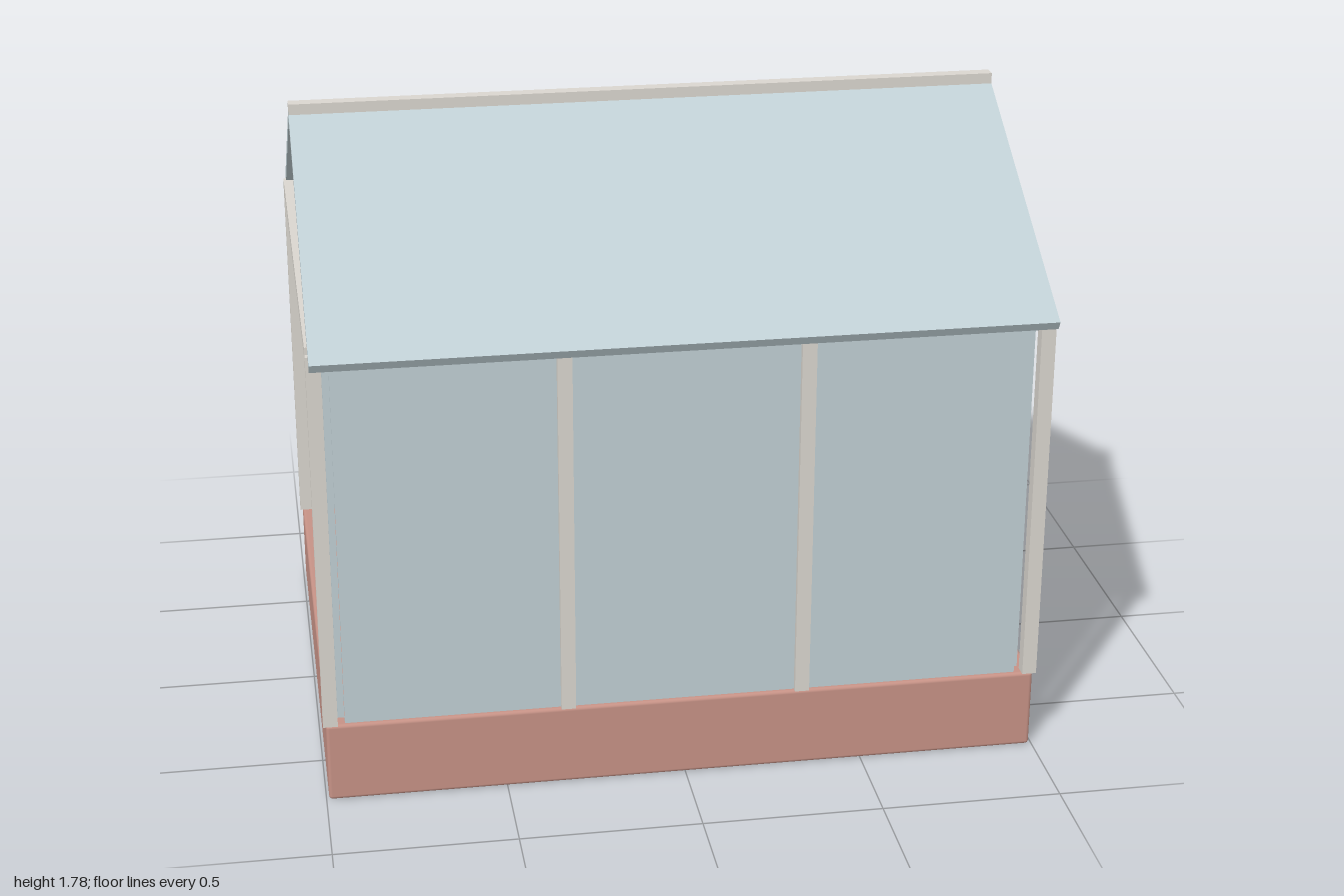
import * as THREE from 'three';
import { RoundedBoxGeometry } from 'three/addons/geometries/RoundedBoxGeometry.js';

export function createModel() {
  const model = new THREE.Group();
  model.name = 'greenhouse';

  const mat = (name, color) => {
    const m = new THREE.MeshStandardMaterial({ color });
    m.name = name;
    return m;
  };
  const brick = mat('brick', 0xc69286);
  const glass = mat('glass', 0xc0cfd4);
  const frame = mat('frame', 0xdad6cf);

  const add = (name, geometry, material, x, y, z) => {
    const mesh = new THREE.Mesh(geometry, material);
    mesh.name = name;
    mesh.position.set(x, y, z);
    model.add(mesh);
    return mesh;
  };
  // Box given by its size and centre, spanning y0 to y1
  const box = (name, material, w, d, y0, y1, x, z) =>
    add(name, new THREE.BoxGeometry(w, y1 - y0, d), material, x, (y0 + y1) / 2, z);

  // Brick plinth with softened edges
  add('base', new RoundedBoxGeometry(1.985, 0.23, 1.44, 2, 0.01), brick, 0, 0.115, 0);

  // Posts along both long walls, long glass walls
  for (const side of [1, -1]) {
    for (const x of [-0.98, -0.327, 0.327, 0.98]) {
      box('post', frame, 0.04, 0.036, 0.23, 1.312, x, side * 0.707);
    }
    box('longWallGlass', glass, 1.88, 0.016, 0.23, 1.3, 0, side * 0.7);
  }

  // End walls with their tie beams
  for (const side of [1, -1]) {
    box('endWallGlass', glass, 0.018, 1.35, 0.23, 1.3, side * 0.949, 0);
    box('tieBeam', frame, 0.04, 1.405, 1.296, 1.332, side * 0.98, 0);
  }

  // Sloping roof panes, 30 degrees, mirrored about the ridge
  const pitch = Math.PI / 6;
  const length = 0.898;
  const thickness = 0.028;
  for (const side of [1, -1]) {
    const pane = new THREE.BoxGeometry(1.985, thickness, length);
    pane.translate(0, -thickness / 2, length / 2);
    pane.rotateX(pitch);
    if (side < 0) pane.rotateY(Math.PI);
    add('roofPane', pane, glass, 0, 1.759, 0);
  }

  // Ridge bar
  box('ridgeBar', frame, 1.985, 0.038, 1.739, 1.778, 0, 0);

  return model;
}
